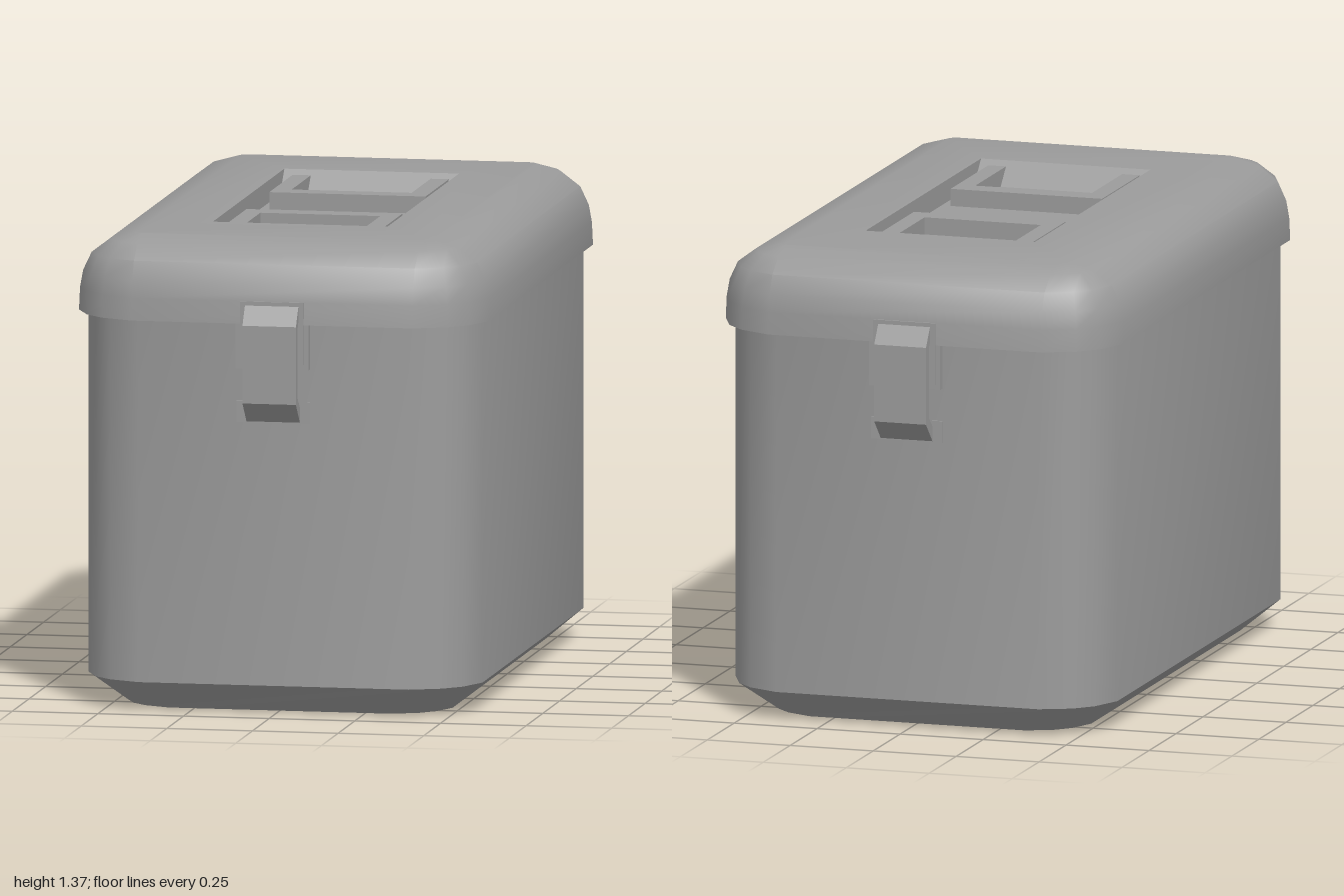
import * as THREE from 'three';
import { mergeGeometries, toCreasedNormals } from 'three/addons/utils/BufferGeometryUtils.js';

const material = new THREE.MeshStandardMaterial({ color: 0x9b9b9b });
const CREASE = 0.6;

// Unit quarter corner, slightly flatter than a circle
const ROUND = [[1, 0], [0.78, 0.5], [0.5, 0.78], [0, 1]];
const SQUARE = [[1, 1]];

function addMesh(parent, name, geometry) {
  const mesh = new THREE.Mesh(geometry, material);
  mesh.name = name;
  parent.add(mesh);
  return mesh;
}

// Rectangle outline as [x, z] points with the given corner curve of radius r
function outline(hx, hz, r, corner = ROUND) {
  const points = [];
  for (const [sx, sz] of [[1, 1], [-1, 1], [-1, -1], [1, -1]]) {
    const ordered = sx * sz > 0 ? corner : [...corner].reverse();
    for (const [u, v] of ordered) points.push([sx * (hx - r + r * u), sz * (hz - r + r * v)]);
  }
  return points;
}

// Skin a stack of rings { y, points }, optionally closing the first and last
function loft(rings, capStart, capEnd) {
  const n = rings[0].points.length;
  const positions = [], index = [];
  for (const { y, points } of rings) for (const [x, z] of points) positions.push(x, y, z);
  for (let k = 0; k < rings.length - 1; k++) {
    for (let i = 0; i < n; i++) {
      const a = k * n + i, b = k * n + (i + 1) % n;
      index.push(a, a + n, b, b, a + n, b + n);
    }
  }
  const last = (rings.length - 1) * n;
  for (let i = 1; i < n - 1; i++) {
    if (capStart) index.push(0, i, i + 1);
    if (capEnd) index.push(last, last + i + 1, last + i);
  }
  const geometry = new THREE.BufferGeometry();
  geometry.setAttribute('position', new THREE.Float32BufferAttribute(positions, 3));
  geometry.setIndex(index);
  return geometry;
}

const toVectors = (points) => points.map(([x, y]) => new THREE.Vector2(x, y));

function makeBody() {
  const rings = [
    { y: 0, points: outline(0.475, 0.84, 0.15) },
    { y: 0.085, points: outline(0.575, 0.935, 0.18) },
    { y: 1.2, points: outline(0.575, 0.935, 0.18) },
  ];
  return toCreasedNormals(loft(rings, true, false), CREASE);
}

function makeLid() {
  // [inset, height] from the underside lip up over the rounded shoulder
  const profile = [[0.04, 1.135], [0, 1.135], [0.003, 1.2], [0.012, 1.25],
    [0.037, 1.303], [0.093, 1.345], [0.165, 1.365]];
  const ring = (inset) => outline(0.6 - inset, 0.96 - inset, 0.19 - inset);
  const shell = loft(profile.map(([inset, y]) => ({ y, points: ring(inset) })), false, false);

  // Flat top with the rectangular opening of the handle recess
  const shape = new THREE.Shape(toVectors(ring(0.165)));
  shape.holes.push(new THREE.Path(toVectors(outline(0.255, 0.535, 0, SQUARE))));
  const top = new THREE.ShapeGeometry(shape).rotateX(-Math.PI / 2).translate(0, 1.365, 0);
  top.deleteAttribute('uv');
  top.deleteAttribute('normal');
  return toCreasedNormals(mergeGeometries([shell, top]), CREASE);
}

function makeRecess() {
  const rings = [
    { y: 1.365, points: outline(0.255, 0.535, 0, SQUARE) },
    { y: 1.3, points: outline(0.255, 0.47, 0, SQUARE) },
  ];
  return toCreasedNormals(loft(rings, false, true), 0.3);
}

// U-shaped handle folded flat, arms reaching the +z end of the recess
function makeHandle() {
  const shape = new THREE.Shape(toVectors([
    [-0.228, -0.525], [-0.175, -0.525], [-0.175, -0.235], [0.175, -0.235],
    [0.175, -0.525], [0.228, -0.525], [0.228, -0.17], [-0.228, -0.17],
  ]));
  return new THREE.ExtrudeGeometry(shape, { depth: 0.055, bevelEnabled: false })
    .rotateX(-Math.PI / 2).translate(0, 1.295, 0);
}

function makeLatch() {
  const latch = new THREE.Group();

  // Bent strap, drawn as a [z, y] section, its lower end meeting the body
  const section = new THREE.Shape(toVectors([
    [0.955, 1.2], [0.942, 1.175], [0.974, 1.128], [0.974, 0.925],
    [0.93, 0.885], [0.93, 0.845], [0.94, 0.85], [1, 0.91], [1, 1.135],
  ]));
  const strap = new THREE.ExtrudeGeometry(section, { depth: 0.156, bevelEnabled: false })
    .rotateY(-Math.PI / 2).translate(0.078, 0, 0);
  addMesh(latch, 'latchStrap', strap);

  const plate = (name, width, y0, y1, z1) => addMesh(latch, name,
    new THREE.BoxGeometry(width, y1 - y0, z1 - 0.92).translate(0, (y0 + y1) / 2, (z1 + 0.92) / 2));
  plate('latchBackPlate', 0.214, 1.005, 1.14, 0.957);
  plate('latchHinge', 0.186, 1.02, 1.2, 0.963);
  plate('latchKeeper', 0.214, 0.847, 0.91, 0.94);
  return latch;
}

export function createModel() {
  const model = new THREE.Group();
  model.name = 'coolBox';
  addMesh(model, 'body', makeBody());
  addMesh(model, 'lid', makeLid());
  addMesh(model, 'handleRecess', makeRecess());

  // Handles and latches repeat at the front and back
  for (const turn of [0, Math.PI]) {
    const side = turn ? 'back' : 'front';
    addMesh(model, side + 'Handle', makeHandle()).rotation.y = turn;
    const latch = makeLatch();
    latch.name = side + 'Latch';
    latch.rotation.y = turn;
    model.add(latch);
  }
  return model;
}
